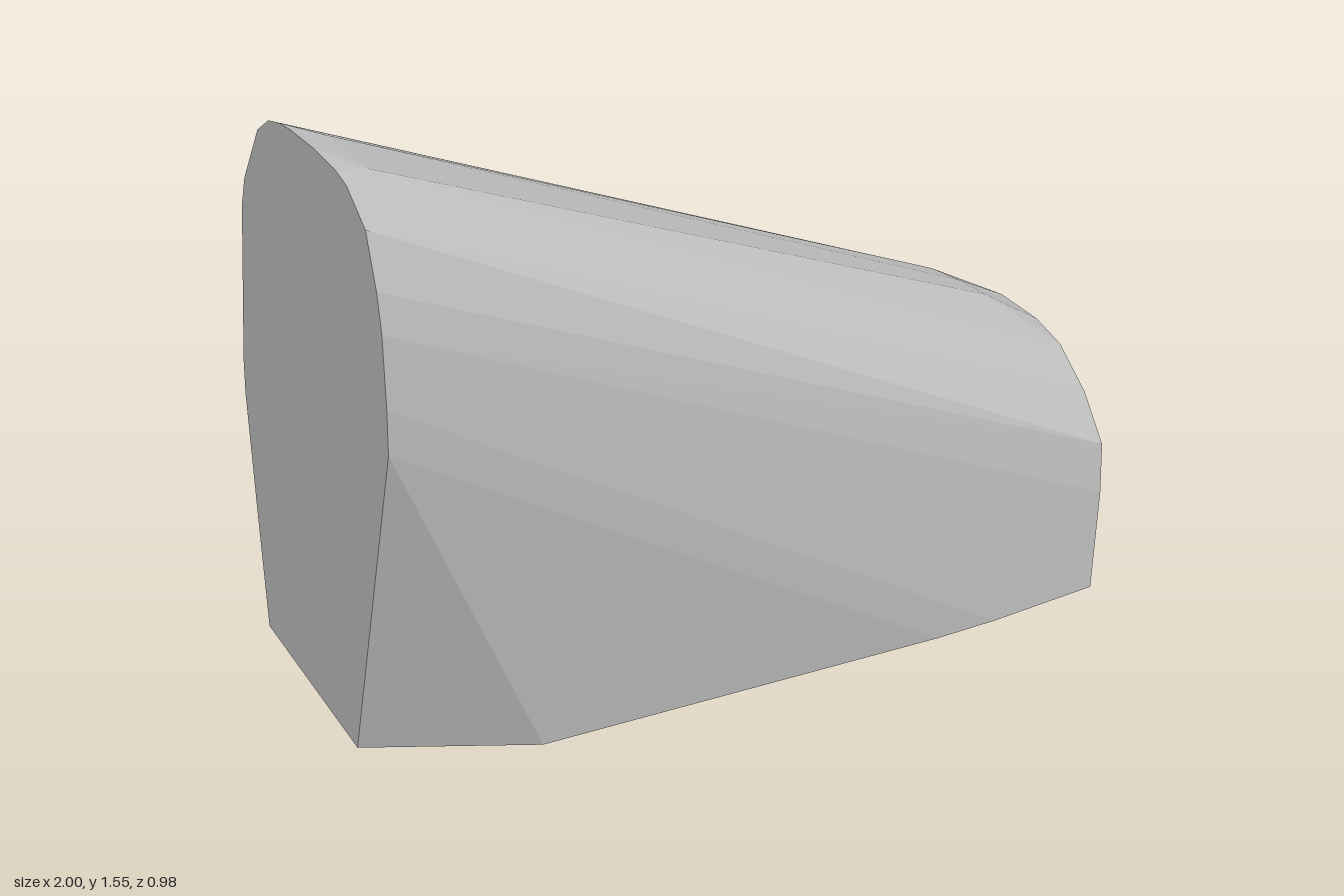
import * as THREE from 'three';
import { ConvexGeometry } from 'three/addons/geometries/ConvexGeometry.js';

export function createModel() {
  const group = new THREE.Group();
  group.name = 'slopedBlock';
  const grey = new THREE.MeshStandardMaterial({ color: 0xc0c0c0, flatShading: true });
  grey.name = 'plain grey';

  // Tall end outline as [z, y], from front foot over the top to back foot
  const tallEnd = [
    [0.12, 0], [0.472, 0.97], [0.482, 1.08], [0.486, 1.25], [0.475, 1.34], [0.44, 1.46],
    [0.355, 1.525], [0.3, 1.54], [0.18, 1.55], [0.05, 1.55], [-0.02, 1.545], [-0.09, 1.53],
    [-0.17, 1.485], [-0.3, 1.33], [-0.34, 1.25], [-0.46, 0.8], [-0.475, 0.7], [-0.485, 0.32], [-0.49, 0],
  ];
  // Low end outline as [z, y]
  const lowEnd = [
    [0.487, 0], [0.487, 0.3], [0.475, 0.44], [0.39, 0.56], [0.28, 0.655], [0.18, 0.69], [0.03, 0.705],
    [-0.09, 0.69], [-0.2, 0.655], [-0.27, 0.6], [-0.31, 0.55], [-0.345, 0.47], [-0.358, 0.32], [-0.36, 0],
  ];
  // Corners between the ends: curved front foot, ridge ends and back shoulder
  const between = [
    [-0.61, 0, 0.34], [0.49, 0, 0.47], [0.67, 0, 0.482],
    [-0.93, 1.53, 0.3], [-0.93, 1.53, 0.06],
    [0.82, 0.8, 0.17], [0.82, 0.8, 0.06], [0.82, 0.79, -0.06],
    [0.85, 0.58, -0.34],
  ];

  const points = [
    ...tallEnd.map(([z, y]) => new THREE.Vector3(-1, y, z)),
    ...lowEnd.map(([z, y]) => new THREE.Vector3(1, y, z)),
    ...between.map((p) => new THREE.Vector3(...p)),
  ];

  // Faceted shell wrapped around both ends
  const body = new THREE.Mesh(new ConvexGeometry(points), grey);
  body.name = 'body';
  group.add(body);
  return group;
}
